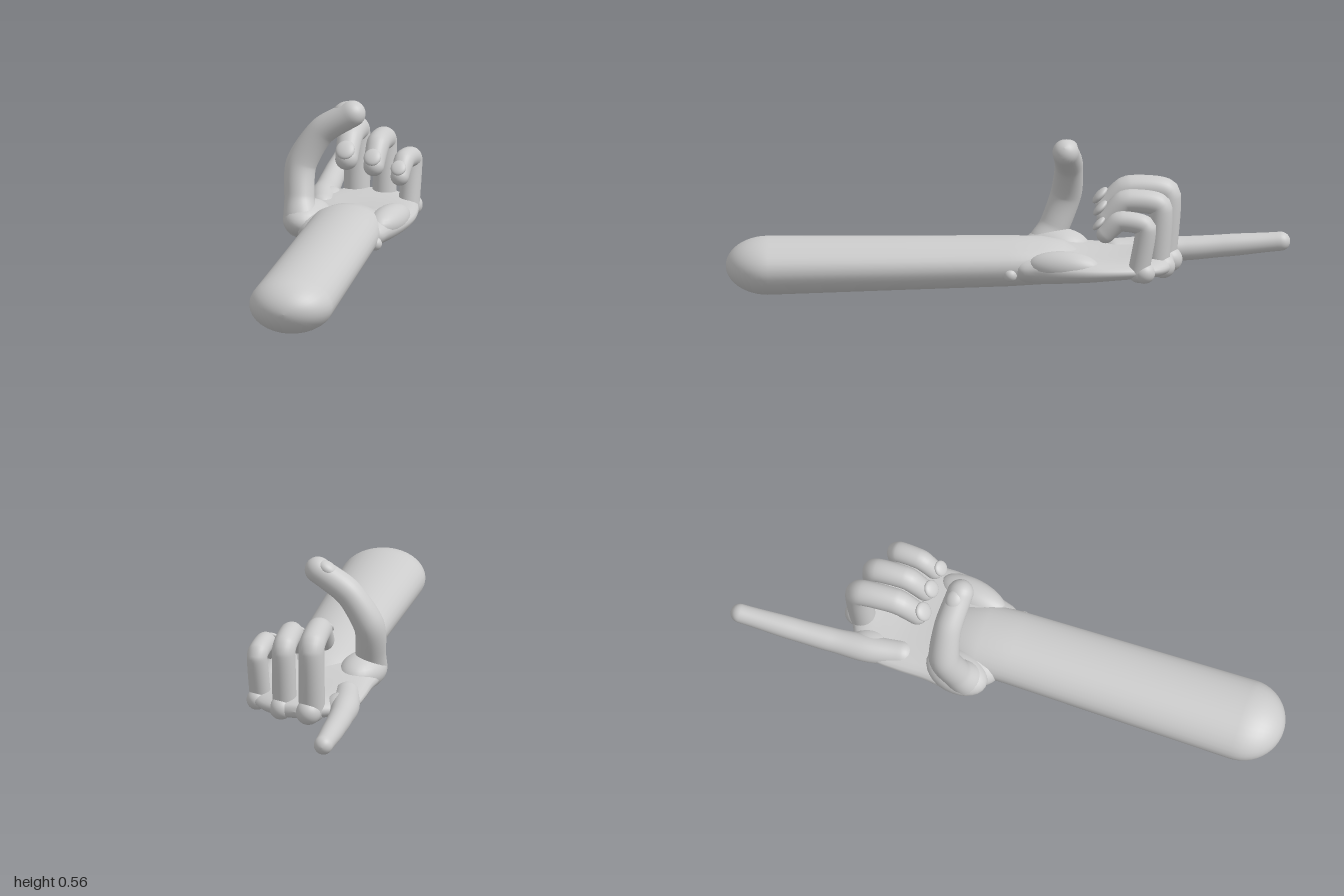
import * as THREE from 'three';

const SIDES = 32;
const material = new THREE.MeshStandardMaterial({ color: 0xcccccc, roughness: 0.7 });
const V = (p) => new THREE.Vector3(...p);

// Skin a list of closed rings with smooth normals
function loft(rings) {
  const pos = [], index = [];
  rings.forEach((ring) => ring.forEach((p) => pos.push(p.x, p.y, p.z)));
  for (let j = 0; j < rings.length - 1; j++) {
    for (let i = 0; i < SIDES; i++) {
      const k = (i + 1) % SIDES;
      const a = j * SIDES + i, b = j * SIDES + k;
      index.push(a, b, b + SIDES, a, b + SIDES, a + SIDES);
    }
  }
  const g = new THREE.BufferGeometry();
  g.setAttribute('position', new THREE.Float32BufferAttribute(pos, 3));
  g.setIndex(index);
  g.computeVertexNormals();
  return g;
}

// Ring in a plane of constant z; dish hollows the upper side
function flatRing([z, cx, cy, rx, ry, dish = 0]) {
  return Array.from({ length: SIDES }, (_, i) => {
    const a = (i / SIDES) * Math.PI * 2, c = Math.cos(a), s = -Math.sin(a);
    const hollow = s > 0 ? dish * s * s * s : 0;
    return new THREE.Vector3(cx + rx * c, cy + ry * s - hollow, z);
  });
}

// Smooth interpolation through rows of numbers
function sampleRows(rows, t) {
  const f = t * (rows.length - 1), i = Math.min(Math.floor(f), rows.length - 2), u = f - i;
  const at = (k) => rows[Math.max(0, Math.min(rows.length - 1, k))];
  return rows[0].map((_, c) => {
    const [a, b, d, e] = [at(i - 1)[c], at(i)[c], at(i + 1)[c], at(i + 2)[c]];
    const m = (d - a) / 2, n = (e - b) / 2;
    return b + u * (m + u * (3 * (d - b) - 2 * m - n + u * (2 * (b - d) + m + n)));
  });
}

// Tapered round limb through joints [x, y, z, radius] with rounded ends
function limb(joints, tension = 0.3) {
  const curve = new THREE.CatmullRomCurve3(joints.map(V), false, 'catmullrom', tension);
  const steps = 48, caps = 7, rings = [];
  const frames = curve.computeFrenetFrames(steps, false);
  const ring = (k, shift, scale) => {
    const t = curve.getUtoTmapping(k / steps);
    const f = t * (joints.length - 1), i = Math.min(Math.floor(f), joints.length - 2);
    const u = THREE.MathUtils.smoothstep(f - i, 0, 1);
    const r = joints[i][3] + (joints[i + 1][3] - joints[i][3]) * u;
    const centre = curve.getPoint(t).addScaledVector(frames.tangents[k], shift * r);
    rings.push(Array.from({ length: SIDES }, (_, s) => {
      const a = (s / SIDES) * Math.PI * 2;
      return centre.clone()
        .addScaledVector(frames.normals[k], Math.cos(a) * r * scale)
        .addScaledVector(frames.binormals[k], Math.sin(a) * r * scale);
    }));
  };
  for (let c = 0; c < caps; c++) {
    const a = (c / caps) * Math.PI / 2;
    ring(0, -Math.cos(a), Math.sin(a) + 0.001);
  }
  for (let k = 0; k <= steps; k++) ring(k, 0, 1);
  for (let c = 1; c <= caps; c++) {
    const a = (c / caps) * Math.PI / 2;
    ring(steps, Math.sin(a), Math.cos(a) + 0.001);
  }
  return loft(rings);
}

export function createModel() {
  const model = new THREE.Group();
  const add = (name, geometry, parent = model) => {
    const mesh = new THREE.Mesh(geometry, material);
    mesh.name = name;
    parent.add(mesh);
    return mesh;
  };
  const blob = (name, centre, size, tilt = [0, 0, 0], parent = model) => {
    const mesh = add(name, new THREE.SphereGeometry(1, 28, 18), parent);
    mesh.position.set(...centre);
    mesh.scale.set(...size);
    mesh.rotation.set(...tilt);
    return mesh;
  };

  // Forearm: elliptical, with a domed elbow end
  const arm = [];
  for (let i = 0; i <= 12; i++) {
    const a = (i / 12) * Math.PI / 2, s = Math.sin(a) + 0.001;
    arm.push([0.85 + 0.15 * Math.cos(a), 0.014, 0.103, 0.151 * s, 0.101 * s]);
  }
  arm.push([0.4, 0.014, 0.113, 0.143, 0.093], [0, 0.014, 0.122, 0.136, 0.087],
    [-0.12, 0.01, 0.124, 0.134, 0.082], [-0.2, 0.01, 0.124, 0.115, 0.068],
    [-0.25, 0.01, 0.122, 0.07, 0.04], [-0.27, 0.01, 0.12, 0.001, 0.001]);
  add('forearm', loft(arm.map(flatRing)));

  // Palm: flattened, hollow on the upper side
  const palm = [
    [0.0, 0.01, 0.115, 0.002, 0.002, 0],
    [-0.03, 0.01, 0.115, 0.13, 0.055, 0],
    [-0.1, 0.0, 0.118, 0.175, 0.07, 0.005],
    [-0.18, 0.0, 0.122, 0.208, 0.07, 0.015],
    [-0.28, 0.012, 0.123, 0.212, 0.062, 0.025],
    [-0.38, 0.01, 0.123, 0.208, 0.052, 0.022],
    [-0.47, 0.005, 0.122, 0.193, 0.045, 0.012],
    [-0.54, 0.01, 0.12, 0.15, 0.038, 0],
    [-0.58, 0.015, 0.12, 0.08, 0.024, 0],
    [-0.59, 0.015, 0.12, 0.001, 0.001, 0],
  ];
  add('palm', loft(Array.from({ length: 55 }, (_, i) => flatRing(sampleRows(palm, i / 54)))));

  // Pads at the heel of the hand and the wrist bone
  blob('thumbPad', [-0.14, 0.138, -0.17], [0.08, 0.065, 0.12], [0, -0.2, 0]);
  blob('outerPad', [0.15, 0.135, -0.2], [0.06, 0.055, 0.13], [0, -0.2, 0]);
  blob('wristBone', [0.138, 0.1, -0.01], [0.024, 0.024, 0.024]);

  // Thumb curving up and across
  add('thumb', limb([
    [-0.155, 0.14, -0.13, 0.064],
    [-0.168, 0.21, -0.165, 0.054],
    [-0.17, 0.325, -0.205, 0.055],
    [-0.098, 0.445, -0.215, 0.05],
    [0.015, 0.519, -0.205, 0.047],
  ], 0.4));
  blob('thumbNail', [-0.022, 0.53, -0.215], [0.04, 0.024, 0.032], [0, 0, 0.57]);

  // Straight pointing finger
  add('indexFinger', limb([
    [-0.13, 0.122, -0.38, 0.046],
    [-0.15, 0.122, -0.5, 0.05],
    [-0.16, 0.125, -0.63, 0.043],
    [-0.167, 0.134, -0.77, 0.04],
    [-0.174, 0.148, -0.965, 0.034],
  ], 0.5));
  blob('indexNail', [-0.173, 0.129, -0.95], [0.024, 0.016, 0.035], [0.07, 0, 0]);

  // Curled fingers: base knuckle, upright segment, bent over, tip pointing down
  const curled = [
    { name: 'middleFinger', r: 0.046, path: [[-0.04, 0.12, -0.55], [-0.042, 0.358, -0.565], [-0.038, 0.376, -0.425], [-0.036, 0.312, -0.35]] },
    { name: 'ringFinger', r: 0.042, path: [[0.064, 0.12, -0.53], [0.064, 0.335, -0.54], [0.064, 0.354, -0.42], [0.062, 0.29, -0.352]] },
    { name: 'littleFinger', r: 0.037, path: [[0.166, 0.12, -0.465], [0.172, 0.286, -0.49], [0.163, 0.305, -0.4], [0.157, 0.257, -0.348]] },
  ];
  for (const { name, r, path } of curled) {
    const finger = new THREE.Group();
    finger.name = name;
    model.add(finger);
    const scale = [1.02, 1, 0.98, 0.88];
    add('segments', limb(path.map((p, i) => [...p, r * scale[i]]), 0.25), finger);
    const [x, y, z] = path[0];
    blob('knuckle', [x + 0.008, y - 0.002, z - 0.02], [r, r, r * 1.05], [0, 0, 0], finger);
    // Nail set into the front of the tip
    const [tx, ty, tz] = path[3];
    blob('nail', [tx, ty + 0.038, tz + 0.024], [r * 0.75, r * 0.8, r * 0.32], [-0.75, 0, 0], finger);
  }

  // Web between the index finger and the palm
  blob('indexKnuckle', [-0.135, 0.12, -0.49], [0.062, 0.046, 0.075]);
  return model;
}
